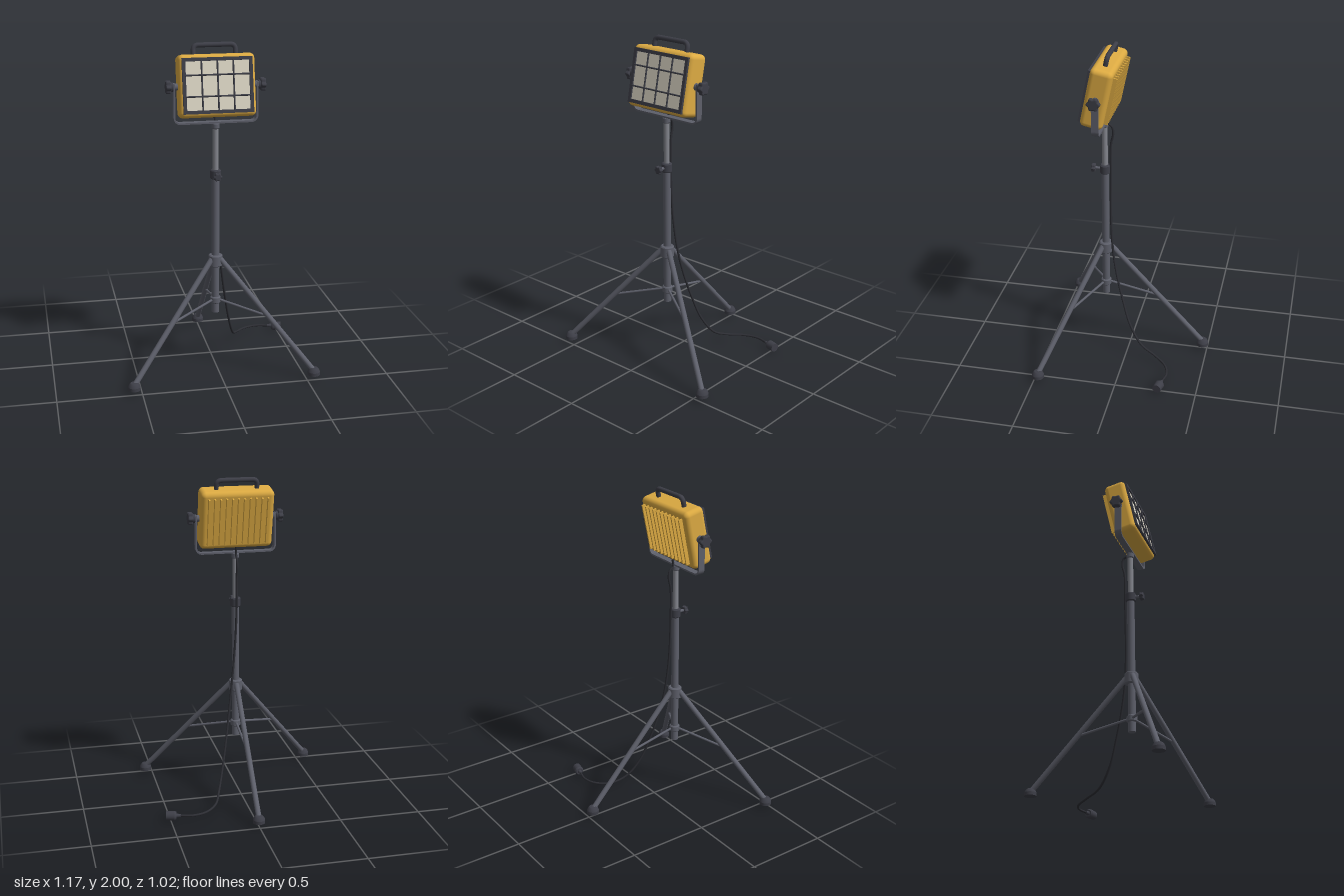
import * as THREE from 'three';
import { RoundedBoxGeometry } from 'three/addons/geometries/RoundedBoxGeometry.js';

const mat = (name, color, side = THREE.FrontSide) => {
  const m = new THREE.MeshStandardMaterial({ color, side });
  m.name = name;
  return m;
};
const V = (x, y, z) => new THREE.Vector3(x, y, z);

export function createModel() {
  const yellow = mat('housing yellow', 0xdcaa42);
  const dark = mat('dark plastic', 0x3d3e47);
  const steel = mat('painted steel grey', 0x5d5f6a);
  const bright = mat('bright tube grey', 0x83858d);
  const glass = mat('lens cream', 0xddd7c6);
  const rubber = mat('cable black', 0x2c2d33);

  const root = new THREE.Group();
  root.name = 'tripodWorkLight';

  const add = (parent, name, geo, material, x = 0, y = 0, z = 0) => {
    const m = new THREE.Mesh(geo, material);
    m.name = name;
    m.position.set(x, y, z);
    parent.add(m);
    return m;
  };
  const tube = (pts, r, seg = 64, sides = 12) =>
    new THREE.TubeGeometry(new THREE.CatmullRomCurve3(pts, false, 'centripetal'), seg, r, sides);
  // straight rod between two points
  const rod = (parent, name, a, b, r, material, r2 = r) => {
    const d = b.clone().sub(a);
    const m = add(parent, name, new THREE.CylinderGeometry(r2, r, d.length(), 20), material);
    m.position.copy(a).addScaledVector(d, 0.5);
    m.quaternion.setFromUnitVectors(V(0, 1, 0), d.normalize());
    return m;
  };
  // vertical turned part with small chamfers
  const collar = (parent, name, r, y0, y1, material) => {
    const c = 0.006;
    const pts = [[0, y0], [r - c, y0], [r - c, y0], [r, y0 + c], [r, y0 + c], [r, y1 - c], [r, y1 - c], [r - c, y1], [r - c, y1], [0, y1]];
    return add(parent, name, new THREE.LatheGeometry(pts.map(p => new THREE.Vector2(...p)), 28), material);
  };
  // lobed grip extruded along +z, centred on its thickness
  const knobGeo = (r, depth, lobes) => {
    const pts = [];
    for (let i = 0; i < 60; i++) {
      const a = (i / 60) * Math.PI * 2;
      const q = r * (0.9 + 0.1 * Math.cos(lobes * a));
      pts.push(new THREE.Vector2(q * Math.cos(a), q * Math.sin(a)));
    }
    const bev = depth * 0.25;
    const g = new THREE.ExtrudeGeometry(new THREE.Shape(pts), {
      depth: depth - 2 * bev, bevelEnabled: true, bevelThickness: bev, bevelSize: bev, bevelOffset: -bev, bevelSegments: 3,
    });
    return g.translate(0, 0, bev - depth / 2);
  };

  // ---- Stand ----
  const stand = new THREE.Group();
  stand.name = 'stand';
  stand.position.z = 0.16;
  root.add(stand);

  rod(stand, 'lowerPole', V(0, 0.35, 0), V(0, 1.22, 0), 0.023, steel);
  rod(stand, 'upperPole', V(0, 1.2, 0), V(0, 1.52, 0), 0.0175, bright);
  collar(stand, 'poleCap', 0.023, 1.5, 1.537, steel);
  collar(stand, 'lockCollar', 0.032, 1.197, 1.254, dark);
  collar(stand, 'legHub', 0.042, 0.65, 0.722, steel);
  collar(stand, 'braceCollar', 0.032, 0.41, 0.452, steel);

  // height lock screw
  rod(stand, 'lockScrew', V(0, 1.226, 0.02), V(0, 1.226, 0.065), 0.009, steel);
  add(stand, 'lockKnob', knobGeo(0.026, 0.026, 6), dark, 0, 1.226, 0.071);

  const footProfile = [[0, 0.026], [0.037, 0.026], [0.037, 0.026], [0.037, 0.046], [0.037, 0.046], [0.032, 0.058], [0.024, 0.068], [0.019, 0.071], [0, 0.071]]
    .map(p => new THREE.Vector2(...p));
  [30, 150, 270].forEach((deg) => {
    const a = THREE.MathUtils.degToRad(deg);
    const at = (r, y) => V(Math.cos(a) * r, y, Math.sin(a) * r);
    rod(stand, 'leg', at(0.63, 0.05), at(0.03, 0.698), 0.0165, steel);
    rod(stand, 'brace', at(0.33, 0.366), at(0.025, 0.432), 0.0075, steel);
    const foot = at(0.63, 0);
    add(stand, 'foot', new THREE.LatheGeometry(footProfile, 28), dark, foot.x, 0, foot.z);
  });

  // ---- Yoke: flat strap bent into a U ----
  const U = new THREE.Shape();
  const o = 0.25, t = 0.01, y0 = 1.535, yT = 1.775, R = 0.04;
  U.moveTo(-o, yT);
  U.lineTo(-o, y0 + R);
  U.absarc(-o + R, y0 + R, R, Math.PI, Math.PI * 1.5, false);
  U.lineTo(o - R, y0);
  U.absarc(o - R, y0 + R, R, Math.PI * 1.5, Math.PI * 2, false);
  U.lineTo(o, yT);
  U.lineTo(o - t, yT);
  U.lineTo(o - t, y0 + R);
  U.absarc(o - R, y0 + R, R - t, 0, -Math.PI / 2, true);
  U.lineTo(-o + R, y0 + t);
  U.absarc(-o + R, y0 + R, R - t, -Math.PI / 2, -Math.PI, true);
  U.lineTo(-o + t, yT);
  U.closePath();
  add(stand, 'yoke', new THREE.ExtrudeGeometry(U, { depth: 0.042, bevelEnabled: false, curveSegments: 10 }), steel, 0, 0, -0.021);

  // pivots and tilt knobs on both sides
  for (const s of [-1, 1]) {
    rod(stand, 'pivotWasher', V(s * 0.22, 1.755, 0), V(s * 0.255, 1.755, 0), 0.021, steel);
    rod(stand, 'knobNeck', V(s * 0.25, 1.755, 0), V(s * 0.268, 1.755, 0), 0.027, dark);
    add(stand, 'tiltKnob', knobGeo(0.041, 0.031, 6), dark, s * 0.278, 1.755, 0).rotation.y = Math.PI / 2;
  }

  // ---- Lamp head, tilted back ----
  const head = new THREE.Group();
  head.name = 'lampHead';
  head.position.set(0, 1.755, 0.16);
  head.rotation.x = THREE.MathUtils.degToRad(-12);
  root.add(head);

  add(head, 'housing', new RoundedBoxGeometry(0.448, 0.362, 0.136, 5, 0.03), yellow);
  for (let i = -5; i <= 5; i++) {
    add(head, 'coolingFin', new THREE.BoxGeometry(0.009, 0.29, 0.034), yellow, i * 0.036, 0, -0.075);
  }

  // front bezel with an opening
  const rect = (p, w, h) => {
    p.moveTo(-w, -h); p.lineTo(w, -h); p.lineTo(w, h); p.lineTo(-w, h); p.closePath();
    return p;
  };
  const bezel = rect(new THREE.Shape(), 0.205, 0.16);
  bezel.holes.push(rect(new THREE.Path(), 0.185, 0.14));
  add(head, 'bezel', new THREE.ExtrudeGeometry(bezel, { depth: 0.021, bevelEnabled: false }), dark, 0, 0, 0.059);
  add(head, 'lens', new THREE.BoxGeometry(0.372, 0.282, 0.006), glass, 0, 0, 0.068);

  // guard grille
  for (const x of [-0.0925, 0, 0.0925]) {
    rod(head, 'guardBar', V(x, -0.145, 0.077), V(x, 0.145, 0.077), 0.005, dark);
  }
  for (const y of [-0.061, 0.061]) {
    rod(head, 'guardBar', V(-0.19, y, 0.077), V(0.19, y, 0.077), 0.005, dark);
  }

  // carry handle
  const hp = new THREE.CurvePath();
  const hx = 0.124, hy = 0.235, hr = 0.032;
  hp.add(new THREE.LineCurve3(V(-hx, 0.17, 0), V(-hx, hy - hr, 0)));
  hp.add(new THREE.QuadraticBezierCurve3(V(-hx, hy - hr, 0), V(-hx, hy, 0), V(-hx + hr, hy, 0)));
  hp.add(new THREE.LineCurve3(V(-hx + hr, hy, 0), V(hx - hr, hy, 0)));
  hp.add(new THREE.QuadraticBezierCurve3(V(hx - hr, hy, 0), V(hx, hy, 0), V(hx, hy - hr, 0)));
  hp.add(new THREE.LineCurve3(V(hx, hy - hr, 0), V(hx, 0.17, 0)));
  add(head, 'carryHandle', new THREE.TubeGeometry(hp, 80, 0.0145, 14), dark);

  // ---- Power cable and plug ----
  const cablePts = [
    [0, 1.575, 0.135], [0, 1.525, 0.14], [0, 1.505, 0.115], [0, 1.46, 0.108], [0, 1.39, 0.122], [0, 1.2, 0.124],
    [0.008, 1.0, 0.124], [0.02, 0.85, 0.12], [0.04, 0.67, 0.105], [0.065, 0.5, 0.073], [0.09, 0.36, 0.035],
    [0.125, 0.2, -0.02], [0.165, 0.085, -0.1], [0.205, 0.042, -0.195], [0.28, 0.031, -0.272],
    [0.365, 0.03, -0.298], [0.45, 0.03, -0.281],
  ].map(p => V(...p));
  add(root, 'powerCable', tube(cablePts, 0.007, 160, 10), rubber);

  const dir = V(0.97, 0, 0.22).normalize();
  const p0 = V(0.44, 0.03, -0.283);
  const along = d => p0.clone().addScaledVector(dir, d);
  rod(root, 'plugStrainRelief', along(0), along(0.034), 0.009, dark, 0.014);
  rod(root, 'plugShoulder', along(0.026), along(0.036), 0.022, dark, 0.029);
  rod(root, 'plugBody', along(0.036), along(0.088), 0.029, dark, 0.027);

  return root;
}
